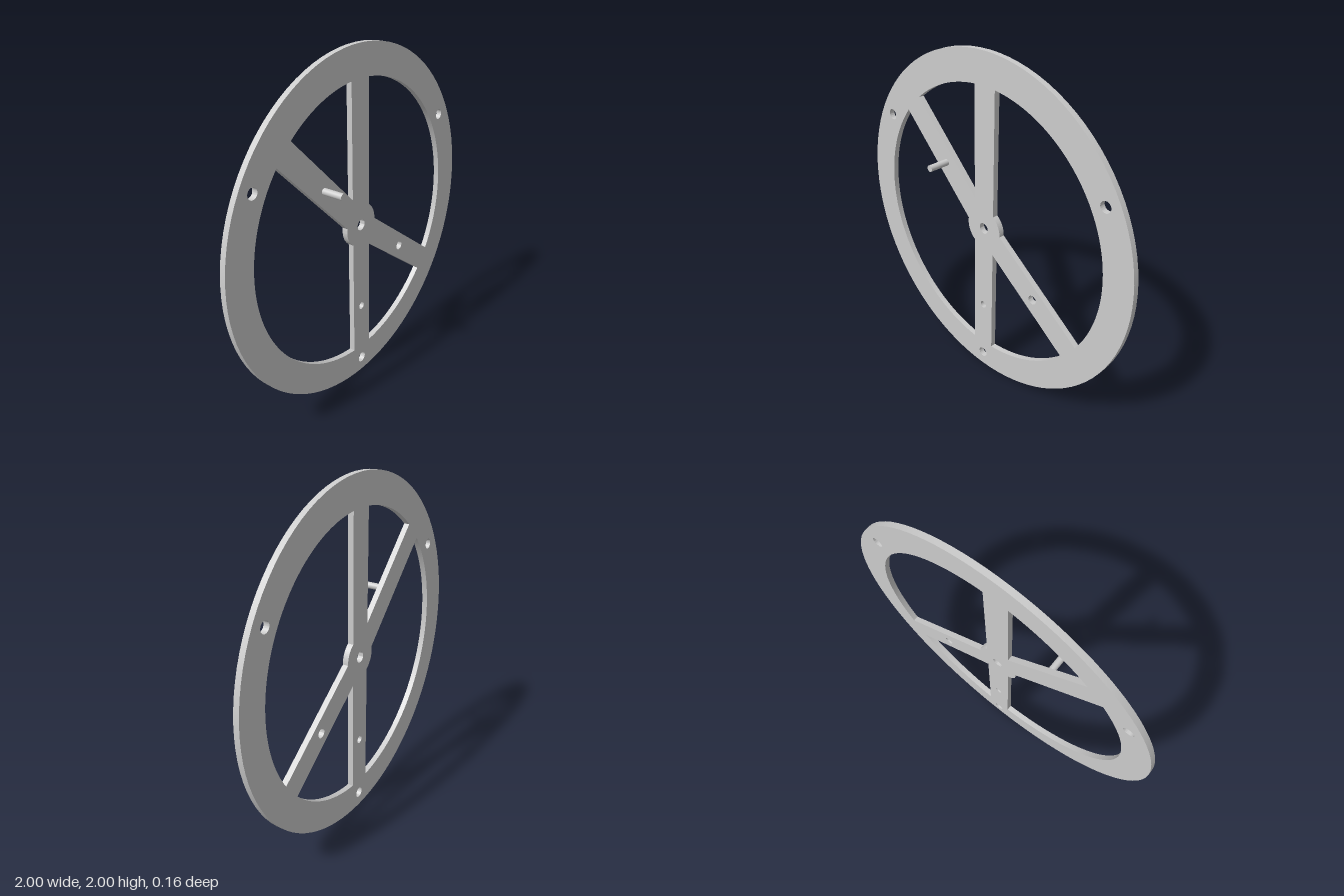
import * as THREE from 'three';
import { toCreasedNormals } from 'three/addons/utils/BufferGeometryUtils.js';

const RIM = 1, INNER = 0.823, HUB = 0.125, HALF = 0.0725;
const BACK = -0.079, FACE = -0.046, PIN_END = 0.079;
const SPOKES = [-37, 90, 135, 270, 323].map(THREE.MathUtils.degToRad);

// Circular hole at a polar position about the hub
function hole(distance, degrees, radius) {
  const a = THREE.MathUtils.degToRad(degrees);
  return new THREE.Path().absarc(distance * Math.cos(a), distance * Math.sin(a), radius, 0, Math.PI * 2, true);
}

// Opening between two neighbouring spokes, bounded by the rim and the hub
function windowBetween(a, b) {
  const path = new THREE.Path();
  const outer = Math.asin(HALF / INNER), inner = Math.asin(HALF / HUB);
  path.absarc(0, 0, INNER, a + outer, b - outer, false);
  if (b - a > 2 * inner) {
    path.absarc(0, 0, HUB, b - inner, a + inner, true);
  } else {
    // Narrow gap: the spoke edges meet outside the hub
    const mid = (a + b) / 2, d = HALF / Math.sin((b - a) / 2);
    path.lineTo(d * Math.cos(mid), d * Math.sin(mid));
  }
  path.closePath();
  return path;
}

export function createModel() {
  const model = new THREE.Group();
  model.name = 'spokedWheel';
  const material = new THREE.MeshStandardMaterial({ color: 0xcccccc });

  // Flat wheel: rim, hub and spokes cut from one disc
  const disc = new THREE.Shape().absarc(0, 0, RIM, 0, Math.PI * 2, false);
  for (let i = 0; i < SPOKES.length - 1; i++) disc.holes.push(windowBetween(SPOKES[i], SPOKES[i + 1]));
  for (const angle of [30, 150, 270]) disc.holes.push(hole(0.912, angle, 0.031)); // rim holes
  disc.holes.push(
    hole(0, 0, 0.032), // axle hole
    hole(0.535, 270, 0.022), // lower spoke hole
    hole(0.482, -37, 0.027) // slanted spoke hole
  );
  const plate = new THREE.ExtrudeGeometry(disc, { depth: FACE - BACK, bevelEnabled: false, curveSegments: 48 });
  const wheel = new THREE.Mesh(toCreasedNormals(plate, 0.5), material);
  wheel.name = 'wheelPlate';
  wheel.position.set(0, 1, BACK);
  model.add(wheel);

  // Crank pin standing on the upper spoke
  const length = PIN_END - FACE;
  const pin = new THREE.Mesh(new THREE.CylinderGeometry(0.019, 0.019, length, 32), material);
  pin.name = 'crankPin';
  pin.rotation.x = Math.PI / 2;
  pin.position.set(-0.305, 1.305, FACE + length / 2);
  model.add(pin);

  return model;
}
